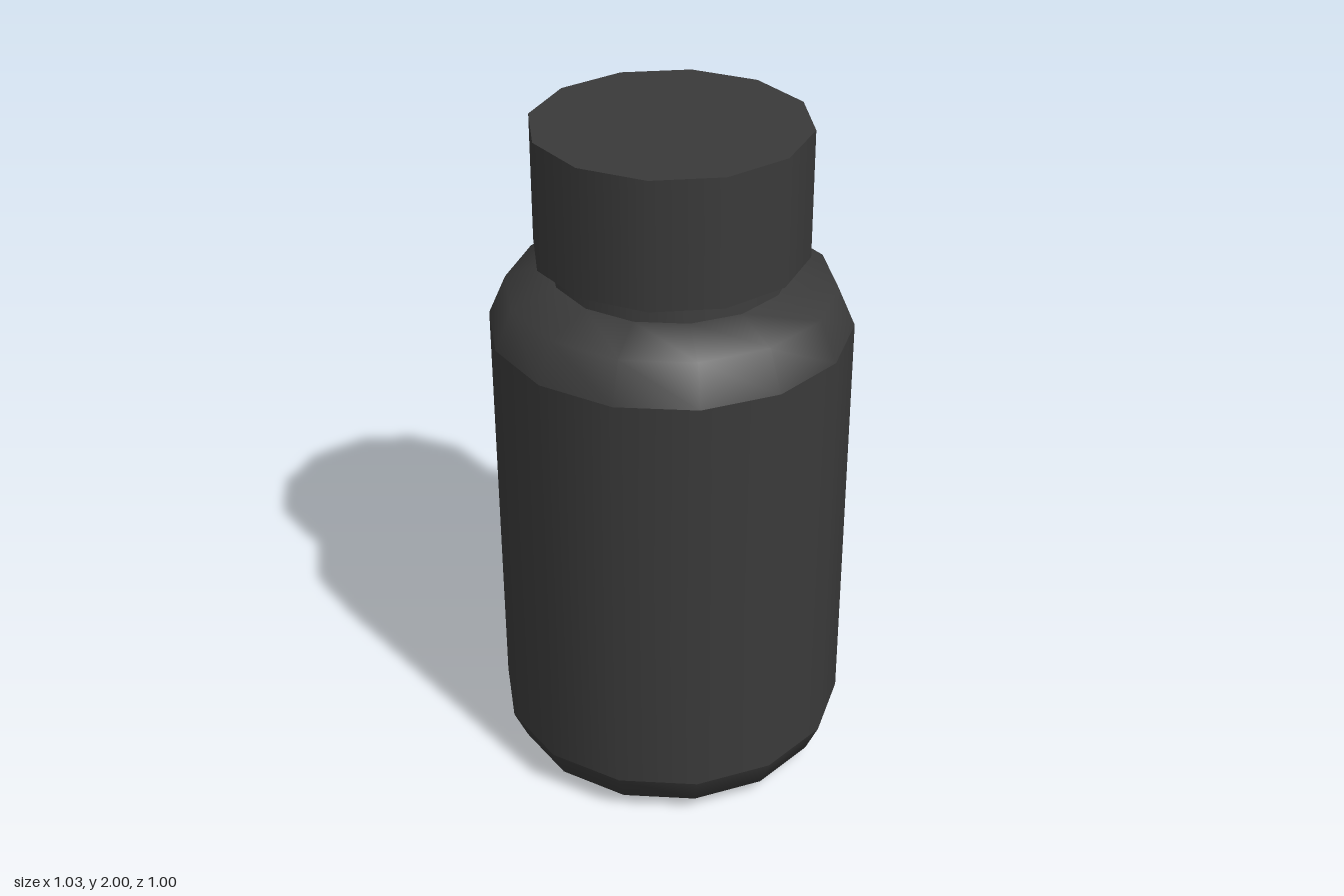
import * as THREE from 'three';

const SIDES = 14;

export function createModel() {
  const group = new THREE.Group();
  const material = new THREE.MeshStandardMaterial({ color: 0x3a3a3a });

  const add = (name, geometry, y = 0) => {
    const mesh = new THREE.Mesh(geometry, material);
    mesh.name = name;
    mesh.position.y = y;
    group.add(mesh);
  };

  // Turned section with a corner on the x axis; separate sections keep a crease between them
  const turned = (points) => new THREE.LatheGeometry(
    points.map(([r, y]) => new THREE.Vector2(r, y)), SIDES, Math.PI / 2);

  // Bottle: rounded base, straight wall, sloping shoulder and neck
  add('bottleBase', turned([[0, 0], [0.335, 0], [0.475, 0.05], [0.515, 0.14]]));
  add('bottleWall', turned([[0.515, 0.14], [0.515, 1.41]]));
  add('bottleShoulder', turned([[0.515, 1.41], [0.465, 1.525], [0.335, 1.57]]));
  add('bottleNeck', turned([[0.335, 1.57], [0.327, 1.64]]));

  // Wide twelve-sided screw cap
  add('cap', new THREE.CylinderGeometry(0.387, 0.387, 0.37, 12), 1.815);

  return group;
}
